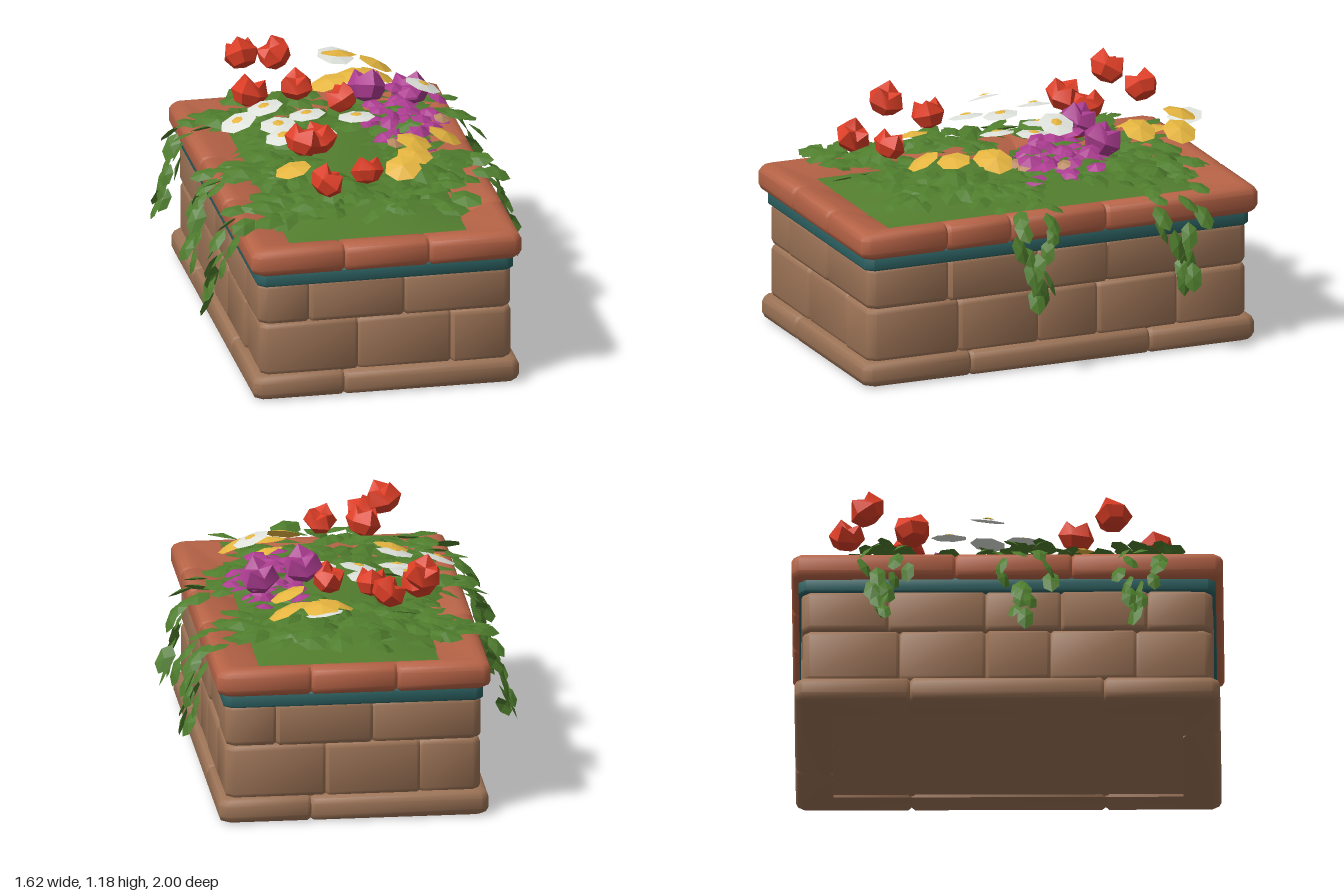
import * as THREE from 'three';
import { mergeGeometries, toCreasedNormals } from 'three/addons/utils/BufferGeometryUtils.js';

const mat = (name, color) => new THREE.MeshStandardMaterial({ name, color, side: THREE.DoubleSide });
let seed = 7;
const rnd = (a = -1, b = 1) => {
  seed = (seed * 16807) % 2147483647;
  return a + (b - a) * (seed / 2147483647);
};

// Sides of the rectangle: direction along the side and outward direction, as (x, z)
const SIDES = [
  { u: [1, 0], o: [0, 1] }, { u: [0, -1], o: [1, 0] },
  { u: [-1, 0], o: [0, -1] }, { u: [0, 1], o: [-1, 0] },
];

// A course of stones: a closed profile (outward offset, height) swept round a rectangle,
// pinched into a groove at every joint
function course(hx, hz, profile, joints, wobble = 0) {
  const ds = profile.map(p => p[0]), ys = profile.map(p => p[1]);
  const dMin = Math.min(...ds), dMax = Math.max(...ds);
  const dc = (dMin + dMax) / 2, yc = (Math.min(...ys) + Math.max(...ys)) / 2;
  const rings = [];
  let bulge = 0;
  SIDES.forEach(({ u, o }, k) => {
    const along = k % 2 ? hz : hx, out = k % 2 ? hx : hz;
    const section = (t, pinch = 0) => rings.push(profile.map(([d, y]) => {
      const e = d - pinch * Math.sign(d - dc) + (d > dc ? bulge : 0);
      const tt = typeof t === 'number' ? t : t(d);
      return [u[0] * tt + o[0] * (out + e), y - pinch * 0.5 * Math.sign(y - yc), u[1] * tt + o[1] * (out + e)];
    }));
    const corner = d => along + d - 0.035 * (d - dMin) / (dMax - dMin);
    section(d => -corner(d));
    for (const j of joints[k % joints.length]) {
      section(j - 0.016);
      section(j, 0.014);
      bulge = wobble * rnd();
      section(j + 0.016);
    }
    bulge *= 0.5;
    section(corner);
  });
  const n = profile.length, index = [];
  rings.forEach((_, i) => {
    const a = i * n, b = ((i + 1) % rings.length) * n;
    for (let j = 0; j < n; j++) {
      const k = (j + 1) % n;
      index.push(a + j, b + j, b + k, a + j, b + k, a + k);
    }
  });
  const g = new THREE.BufferGeometry();
  g.setAttribute('position', new THREE.Float32BufferAttribute(rings.flat(2), 3));
  g.setIndex(index);
  return toCreasedNormals(g.translate(0.008, 0, 0), 0.85);
}

// Rounded block profile, counter-clockwise
const block = (depth, y0, y1, r) => [
  [-depth, y0], [-r, y0], [-r * 0.3, y0 + r * 0.3], [0, y0 + r],
  [0, y1 - r], [-r * 0.3, y1 - r * 0.3], [-r, y1], [-depth, y1],
];

// Flat-faceted disc facing up, pointed along z, with its middle raised by h
function disc(rx, rz, sides, h) {
  const g = new THREE.CircleGeometry(1, sides, Math.PI / 2).rotateX(-Math.PI / 2).scale(rx, 1, rz);
  g.attributes.position.setY(0, h);
  const flat = g.toNonIndexed();
  flat.computeVertexNormals();
  return flat;
}

function place(geo, x, y, z, yaw = 0, pitch = 0, roll = 0, s = 1) {
  const m = new THREE.Matrix4().compose(
    new THREE.Vector3(x, y, z),
    new THREE.Quaternion().setFromEuler(new THREE.Euler(pitch, yaw, roll, 'YXZ')),
    new THREE.Vector3(s, s, s));
  return geo.clone().applyMatrix4(m);
}

// Closed six-sided cup bloom with three raised petal tips
function cupBloom() {
  const pts = [[0, -0.06], [0.055, -0.045], [0.082, 0.005], [0.058, 0.05], [0, 0.045]].map(p => new THREE.Vector2(...p));
  const g = new THREE.LatheGeometry(pts, 6), p = g.attributes.position;
  for (let i = 0; i < p.count; i++) {
    const odd = Math.floor(i / 5) % 2, row = i % 5;
    if (row === 3) p.setY(i, odd ? 0.075 : 0.04);
    if (row === 2 && odd) p.setXYZ(i, p.getX(i) * 1.08, p.getY(i), p.getZ(i) * 1.08);
  }
  return toCreasedNormals(g, 0.6);
}

export function createModel() {
  seed = 7;
  const group = new THREE.Group();
  const stone = mat('brown stone', 0x9c7356), clay = mat('terracotta', 0xb66346);
  const teal = mat('teal band', 0x2d6263), green = mat('leaf green', 0x4f7d2d);
  const moss = mat('moss green', 0x527d2e), red = mat('red petals', 0xdb3d25);
  const yellow = mat('yellow petals', 0xe4b43f), white = mat('white petals', 0xdfe3dc);
  const purple = mat('magenta petals', 0xab3c90), tan = mat('tan petals', 0xb98a62);
  const add = (name, geo, material) => {
    const m = new THREE.Mesh(Array.isArray(geo) ? mergeGeometries(geo) : geo, material);
    m.name = name;
    group.add(m);
  };

  // Stone box
  add('baseSlabs', course(0.629, 0.987, block(0.175, 0, 0.12, 0.035), [[-0.2], [-0.45, 0.45]]), stone);
  add('lowerBricks', course(0.595, 0.952, block(0.12, 0.11, 0.37, 0.025),
    [[-0.13, 0.31], [-0.5, -0.1, 0.2, 0.6]], 0.009), stone);
  add('upperBricks', course(0.595, 0.952, block(0.12, 0.365, 0.57, 0.025),
    [[-0.36, 0.09], [-0.55, -0.1, 0.25, 0.65]], 0.009), stone);
  add('trimBand', course(0.606, 0.967, block(0.12, 0.56, 0.63, 0.008), [[], []]), teal);
  const rim = [[-0.22, 0.62], [-0.03, 0.62], [-0.01, 0.632], [0, 0.655], [0, 0.715], [-0.012, 0.738],
    [-0.04, 0.75], [-0.075, 0.75], [-0.22, 0.7]];
  add('rimStones', course(0.638, 1, rim, [[-0.2, 0.2], [-0.57, -0.25, 0.23], [-0.2, 0.2], [-0.24, 0.3]]), clay);

  // Hollow underside rising to a point
  const hollow = new THREE.ConeGeometry(Math.SQRT2, 0.28, 4, 1, true).rotateY(Math.PI / 4);
  add('hollowUnderside', hollow.scale(0.46, 1, 0.82).translate(0.008, 0.15, 0), stone);

  // Moss mound
  const mound = new THREE.PlaneGeometry(0.86, 1.58, 6, 10).rotateX(-Math.PI / 2);
  const mp = mound.attributes.position;
  for (let i = 0; i < mp.count; i++) {
    const edge = Math.min(1, (0.43 - Math.abs(mp.getX(i))) * 4, (0.79 - Math.abs(mp.getZ(i))) * 4);
    mp.setY(i, 0.7 + edge * (0.075 + 0.012 * rnd()));
  }
  add('mossMound', toCreasedNormals(mound.translate(0.008, 0, 0), 0.5), moss);

  // Ground-cover leaves, laid in rows with some scatter, tips mostly drooping outward
  const leaf = disc(0.062, 0.1, 6, 0.02).translate(0, 0, 0.09);
  const foliage = [];
  for (let i = 0; i < 9; i++) for (let j = 0; j < 19; j++) {
    const x = -0.38 + i * 0.095 + rnd() * 0.04, z = -0.75 + j * 0.083 + rnd() * 0.04;
    if (Math.hypot(x - 0.03, (z - 0.12) * 0.5) < 0.13) continue;
    const outward = Math.atan2(x, z * 0.5);
    foliage.push(place(leaf, x * 0.93, rnd(0.785, 0.85), z * 0.94, outward + rnd() * 1.4,
      rnd(-0.14, 0.3), rnd() * 0.35, rnd(0.7, 1.05)));
  }
  // Leaves spreading over the rim beside the trailing stems
  const vines = [[1, 0.18], [1, -0.56], [-1, -0.56], [-1, 0.1], [-1, 0.62]];
  for (const [side, z] of vines) {
    for (let i = 0; i < 7; i++)
      foliage.push(place(leaf, side * rnd(0.32, 0.46), rnd(0.79, 0.83), z + rnd() * 0.13,
        side * Math.PI / 2 + rnd() * 0.9, rnd(-0.15, 0.15), rnd() * 0.3, 0.9));
  }
  // Taller leaves among the flowers
  for (const [x, y, z] of [[0.36, 0.94, -0.05], [-0.2, 0.89, 0.5], [0.2, 0.88, -0.6], [-0.25, 0.9, -0.6],
    [0.05, 0.87, 0.5], [0.3, 0.87, 0.35], [-0.3, 0.88, -0.1], [0.3, 0.86, -0.3]]) {
    for (let i = 0; i < 3; i++)
      foliage.push(place(leaf, x + rnd() * 0.07, y + rnd() * 0.03, z + rnd() * 0.07, rnd() * 1.6, 0.3, rnd() * 0.3, 0.9));
  }
  add('groundLeaves', foliage, green);

  // Trailing stems hanging over the long sides, wide at the rim and narrow at the tip
  const path = new THREE.CatmullRomCurve3([[0.46, 0.79], [0.58, 0.785], [0.65, 0.74], [0.69, 0.62], [0.715, 0.5], [0.73, 0.42]]
    .map(([x, y]) => new THREE.Vector3(x, y, 0)));
  for (const [side, z] of vines) {
    const leaves = [];
    for (let i = 0; i <= 17; i++) {
      const t = i / 17, p = path.getPointAt(t), d = path.getTangentAt(t);
      const spread = t < 0.65 ? 0.12 : 0.035;
      leaves.push(place(leaf, side * (p.x + rnd() * 0.03), p.y, z + (i % 2 ? 1 : -1) * rnd(0.2, 1) * spread - t * 0.03,
        side * Math.PI / 2 + rnd() * 0.6, Math.atan2(-d.y, d.x) * 0.85 + rnd() * 0.2, rnd() * 0.6, rnd(0.5, 0.75)));
    }
    add('trailingVine', leaves, green);
  }

  // Red cup flowers
  const cup = cupBloom();
  add('redFlowers', [[-0.17, 1.03, -0.75], [-0.35, 1.08, -0.65], [-0.36, 0.97, -0.44], [-0.13, 0.98, -0.46],
    [0.06, 0.96, -0.31], [-0.18, 1.02, 0.32], [-0.29, 1.08, 0.49], [-0.01, 0.95, 0.59], [-0.22, 0.95, 0.69]]
    .map(([x, y, z]) => place(cup, x, y, z, rnd() * 3, rnd(0.2, 0.7), rnd() * 0.4, rnd(0.92, 1.08))), red);

  // Yellow open flowers: position, then pitch to the front and roll to the left
  const open = disc(0.088, 0.08, 7, 0.02);
  add('yellowFlowers', [[0.3, 0.95, -0.74, 0, -0.45], [0.18, 0.94, -0.64, 0.1, 0.1], [0.05, 0.93, -0.6, 0.1, 0.3],
    [0.27, 0.97, -0.55, 0, -0.4], [0.29, 0.93, 0.21, 0.15, -0.25], [0.43, 0.96, 0.24, 0.1, -0.45],
    [0.26, 0.93, 0.38, 0.2, -0.1], [0.18, 0.92, 0.5, 0.5, 0.1], [-0.31, 0.89, 0.35, 0.1, 0.25], [0.14, 0.985, -0.81, -0.2, -0.1]]
    .map(([x, y, z, pitch, roll]) => place(open, x, y, z, 0, pitch, roll)), yellow);

  // White daisies with yellow middles, leaning outward
  const daisy = disc(0.09, 0.085, 7, 0.012), middle = disc(0.028, 0.028, 6, 0.006).translate(0, 0.014, 0);
  const petals = [], middles = [];
  for (const [x, y, z] of [[-0.32, 0.96, -0.27], [-0.13, 0.93, -0.22], [-0.29, 0.94, -0.09], [-0.48, 0.97, -0.09],
    [-0.3, 0.95, 0.08], [-0.12, 0.91, 0], [0.08, 0.95, -0.1], [0.39, 1.09, -0.08], [0.13, 0.965, -0.84]]) {
    const turn = [0, rnd(-0.1, 0.25), -0.6 * x + rnd() * 0.15];
    petals.push(place(daisy, x, y, z, ...turn));
    middles.push(place(middle, x, y, z, ...turn));
  }
  add('whiteDaisies', petals, white);
  add('daisyMiddles', middles, yellow);

  // Magenta clusters: tiers of small petals, a few of them tan, beside two full blooms
  const blossom = disc(0.058, 0.05, 6, 0.02);
  const cluster = [], faded = [];
  for (const [x, z, top] of [[0.2, -0.25, 0.98], [0.38, -0.29, 0.95], [0.3, -0.15, 1.06], [0.22, -0.02, 0.98],
    [0.45, -0.16, 0.98], [0.35, 0, 0.98], [0.3, -0.08, 1.0]])
    for (let y = 0.83; y < top; y += 0.028)
      cluster.push(place(blossom, x + rnd() * 0.05, y, z + rnd() * 0.05, rnd() * 3, rnd(0, 0.4), rnd() * 0.3, rnd(0.75, 1.1)));
  for (const [x, y, z] of [[0.23, 0.87, 0.06], [0.32, 0.88, 0.05], [0.48, 0.92, -0.08]])
    faded.push(place(blossom, x, y, z, 0, 0.4, -0.2, 0.7));
  for (const [x, y, z] of [[0.17, 1.02, -0.28], [0.38, 0.98, -0.31]])
    cluster.push(place(cup, x, y, z, rnd() * 3, 0.4, 0.2, 1.12));
  add('magentaFlowers', cluster, purple);
  add('tanBlossoms', faded, tan);

  return group;
}
